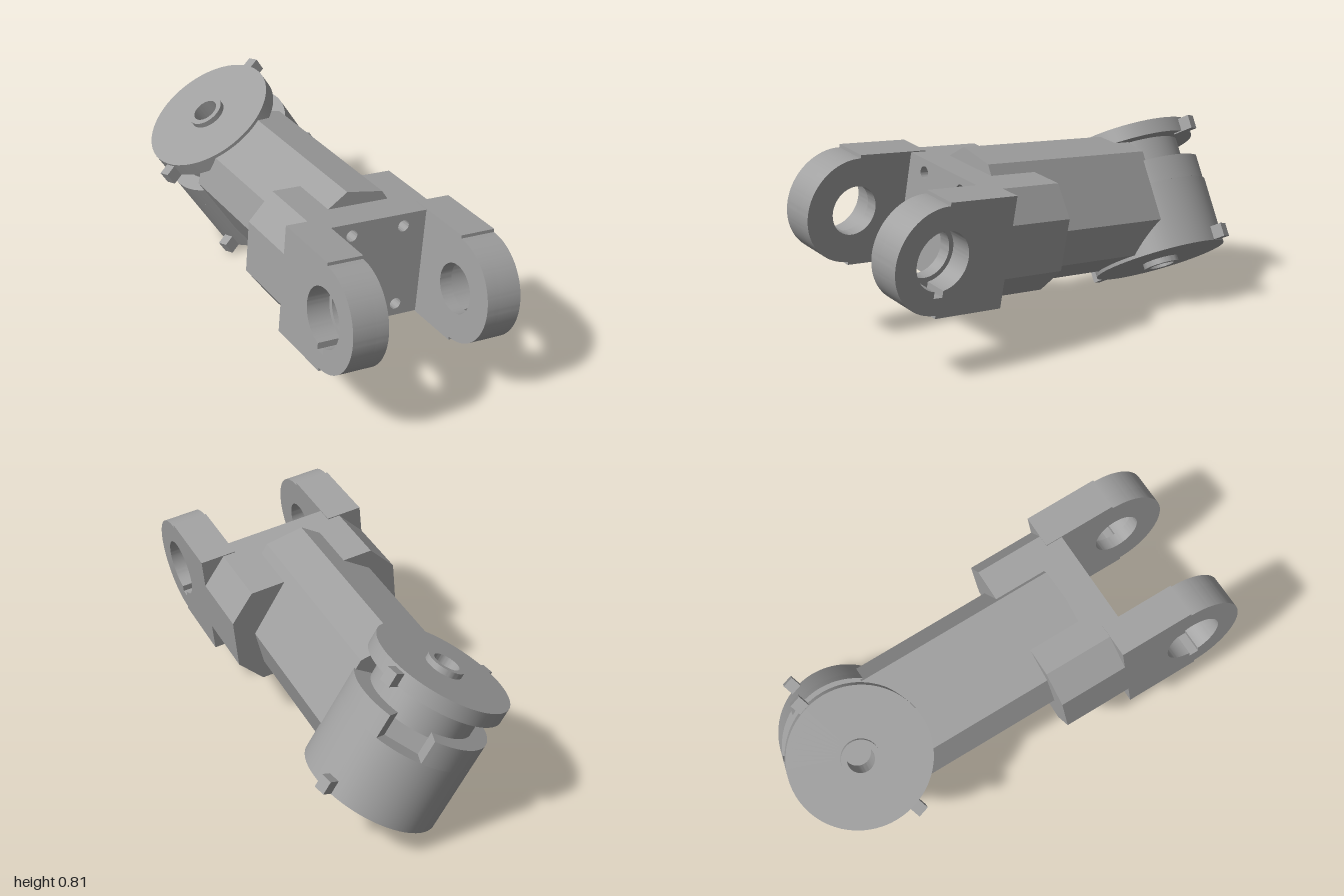
import * as THREE from 'three';
import { toCreasedNormals } from 'three/addons/utils/BufferGeometryUtils.js';

const V = (x, y) => new THREE.Vector2(x, y);

// Octagonal outline: half width, half height, chamfer in x and y
function chamferedRect(w, h, cx, cy) {
  return new THREE.Shape([
    V(w, -h + cy), V(w, h - cy), V(w - cx, h), V(-w + cx, h),
    V(-w, h - cy), V(-w, -h + cy), V(-w + cx, -h), V(w - cx, -h),
  ]);
}

function extrude(shape, depth) {
  return new THREE.ExtrudeGeometry(shape, { depth, bevelEnabled: false, curveSegments: 40 });
}

export function createModel() {
  const metal = new THREE.MeshStandardMaterial({ color: 0xa0a0a0 });
  metal.name = 'grey metal';

  const add = (parent, name, geometry, crease = 0.5) => {
    const mesh = new THREE.Mesh(toCreasedNormals(geometry, crease), metal);
    mesh.name = name;
    parent.add(mesh);
    return mesh;
  };

  const model = new THREE.Group();
  model.name = 'armLink';

  // Link frame: x across the fork, y up, z along the beam towards the fork
  const along = new THREE.Vector3(0.25, 0.085, 0.965).normalize();
  const up = along.clone().cross(new THREE.Vector3(0.96, -0.13, -0.245)).normalize();
  const across = up.clone().cross(along);
  const link = new THREE.Group();
  link.name = 'link';
  link.quaternion.setFromRotationMatrix(new THREE.Matrix4().makeBasis(across, up, along));
  link.position.set(-0.028, 0.474, -0.034);
  model.add(link);

  // Fork block with chamfered shoulders
  const shoulders = add(link, 'forkShoulders', extrude(chamferedRect(0.378, 0.232, 0.1, 0.12), 0.31));
  shoulders.position.z = 0.13;

  // Front web between the fork arms, with screw holes
  const web = new THREE.Shape([V(-0.24, -0.232), V(0.24, -0.232), V(0.24, 0.232), V(-0.24, 0.232)]);
  for (const sx of [-1, 1]) {
    for (const sy of [-1, 1]) {
      web.holes.push(new THREE.Path().absarc(sx * 0.12, sy * 0.178, 0.025, 0, Math.PI * 2, true));
    }
  }
  add(link, 'forkWeb', extrude(web, 0.075)).position.z = 0.43;

  // Fork arm outline: x runs along the beam, y is up
  const pivot = 0.755;
  const armOutline = () => {
    const s = new THREE.Shape();
    s.moveTo(0.43, -0.236);
    s.lineTo(pivot, -0.236);
    s.lineTo(pivot, -0.222);
    s.absarc(pivot, 0, 0.222, -Math.PI / 2, Math.PI / 2, false);
    s.lineTo(pivot, 0.236);
    s.lineTo(0.43, 0.236);
    s.closePath();
    return s;
  };
  // Outer layer has a wide bore with a key slot, inner layer a narrower bore
  const outer = armOutline();
  const slot = new THREE.Path();
  slot.absarc(pivot, 0, 0.124, -Math.PI / 2 - 0.17, -Math.PI / 2 + 0.17, true);
  slot.lineTo(pivot + 0.021, -0.15);
  slot.lineTo(pivot - 0.021, -0.15);
  slot.closePath();
  outer.holes.push(slot);
  const inner = armOutline();
  inner.holes.push(new THREE.Path().absarc(pivot, 0, 0.104, 0, Math.PI * 2, true));

  for (const side of [-1, 1]) {
    const arm = new THREE.Group();
    arm.name = side > 0 ? 'leftForkArm' : 'rightForkArm';
    link.add(arm);
    const layers = [['boreFace', outer, 0.278, 0.378], ['boreLip', inner, 0.223, 0.278]];
    for (const [name, shape, from, to] of layers) {
      const g = extrude(shape, to - from);
      g.rotateY(-Math.PI / 2); // depth now runs towards -x
      g.translate(side > 0 ? to : -from, 0, 0);
      add(arm, name, g);
    }
  }

  // Beam and wrist are turned about the beam axis
  const turned = new THREE.Group();
  turned.name = 'beamAndWrist';
  turned.rotation.z = THREE.MathUtils.degToRad(37);
  link.add(turned);

  add(turned, 'beam', extrude(chamferedRect(0.242, 0.275, 0.118, 0.118), 0.88)).position.z = -0.52;

  // Wrist drum, from the bottom boss to the top disc
  const wrist = new THREE.Group();
  wrist.name = 'wrist';
  wrist.position.set(0, -0.29, -0.68);
  turned.add(wrist);
  const R = 0.297;
  const lathe = (name, points) =>
    add(wrist, name, new THREE.LatheGeometry(points.map(([r, y]) => V(r, y)), 64));

  lathe('drum', [
    [0, 0.12], [0.056, 0.12], [0.056, -0.025], [0.08, -0.025], [0.08, 0], [R, 0], [R, 0.3], [0, 0.3],
  ]);
  lathe('topDisc', [
    [0.225, 0.38], [0.225, 0.515], [R, 0.515], [R, 0.58], [0.08, 0.58],
    [0.08, 0.605], [0.056, 0.605], [0.056, 0.46], [0, 0.46],
  ]);

  // Upper drum band with a notch at the back
  const a0 = THREE.MathUtils.degToRad(68);
  const a1 = THREE.MathUtils.degToRad(30);
  const band = new THREE.Shape();
  band.absarc(0, 0, R, a0, a1 + Math.PI * 2, false);
  band.lineTo(0.225 * Math.cos(a1), 0.225 * Math.sin(a1));
  band.lineTo(0.225 * Math.cos(a0), 0.225 * Math.sin(a0));
  band.closePath();
  const bandGeometry = extrude(band, 0.105);
  bandGeometry.rotateX(-Math.PI / 2);
  add(wrist, 'notchedBand', bandGeometry).position.y = 0.3;

  // Stop lugs, an opposite pair on each end
  const lugAngle = THREE.MathUtils.degToRad(18);
  for (const y of [0.032, 0.54]) {
    for (const turn of [0, Math.PI]) {
      const g = new THREE.BoxGeometry(0.09, 0.06, 0.05);
      g.translate(0.302, y, 0);
      g.rotateY(lugAngle + turn);
      add(wrist, 'stopLug', g);
    }
  }

  return model;
}
